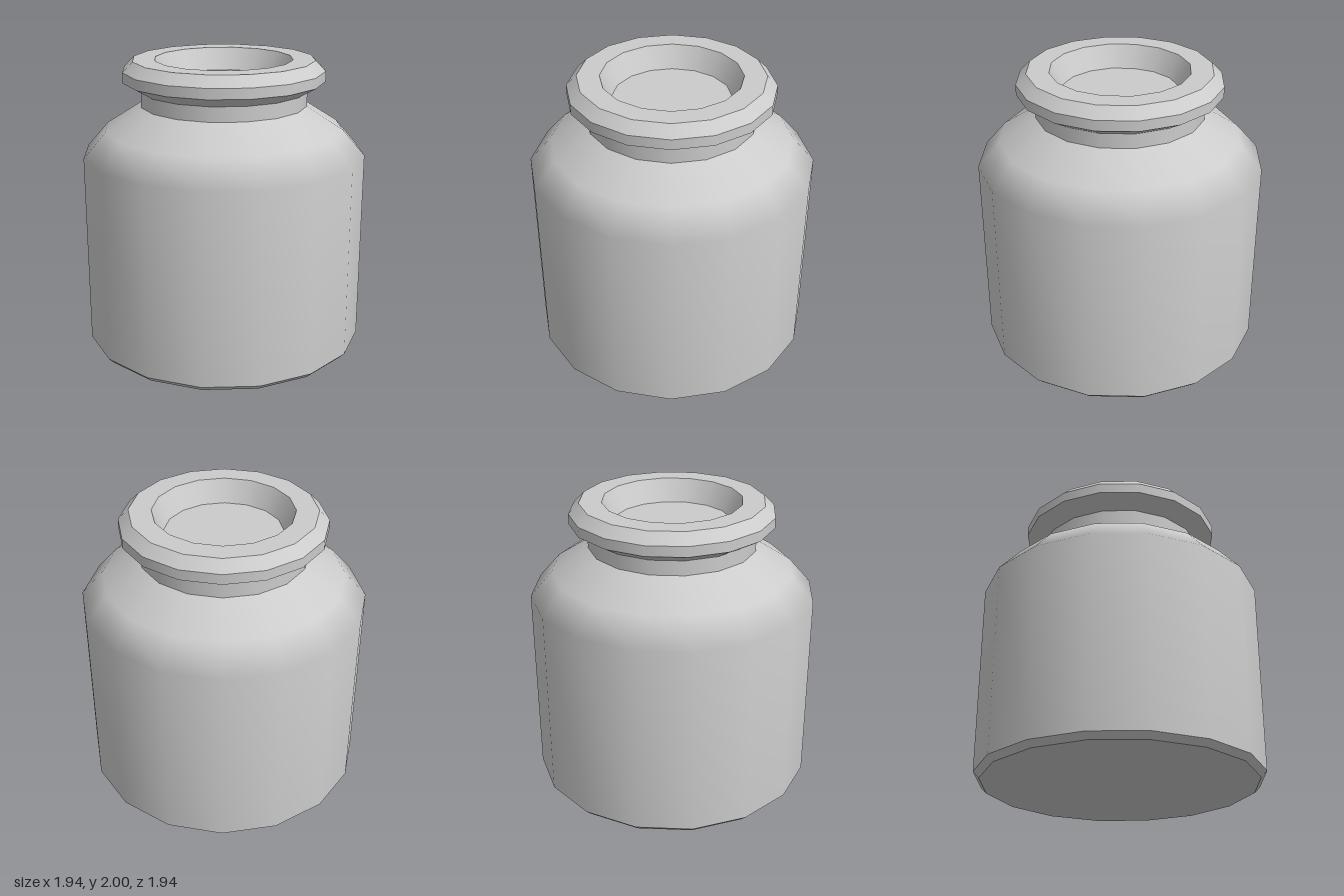
import * as THREE from 'three';
import { mergeGeometries } from 'three/addons/utils/BufferGeometryUtils.js';

const SIDES = 16;
const material = new THREE.MeshStandardMaterial({ color: 0xcccccc });

// Each band is a [radius, height] profile, smooth within itself and hard-edged against its neighbours.
function turnedPart(name, bands) {
  const lathes = bands.map((band) =>
    new THREE.LatheGeometry(band.map(([r, y]) => new THREE.Vector2(r, y)), SIDES));
  const mesh = new THREE.Mesh(mergeGeometries(lathes), material);
  mesh.name = name;
  return mesh;
}

// Splits a profile into one band per segment, so every ring is a hard edge.
const hardBands = (points) => points.slice(1).map((p, i) => [points[i], p]);

export function createModel() {
  const jar = new THREE.Group();
  jar.name = 'jar';

  // Flat underside and small bevel
  jar.add(turnedPart('base', hardBands([[0, 0], [0.93, 0], [0.97, 0.04]])));

  // Straight wall blending into the sloped shoulder
  jar.add(turnedPart('body', [[[0.97, 0.04], [0.97, 1.36], [0.82, 1.53], [0.57, 1.69]]]));

  // Narrow neck
  jar.add(turnedPart('neck', hardBands([[0.57, 1.69], [0.57, 1.79]])));

  // Flared, bevelled lip
  jar.add(turnedPart('lip', hardBands([
    [0.57, 1.79], [0.69, 1.86], [0.69, 1.93], [0.62, 2], [0.47, 2],
  ])));

  // Tapered recess in the mouth with a flat floor
  jar.add(turnedPart('mouthRecess', hardBands([[0.47, 2], [0.395, 1.85], [0, 1.85]])));

  return jar;
}
